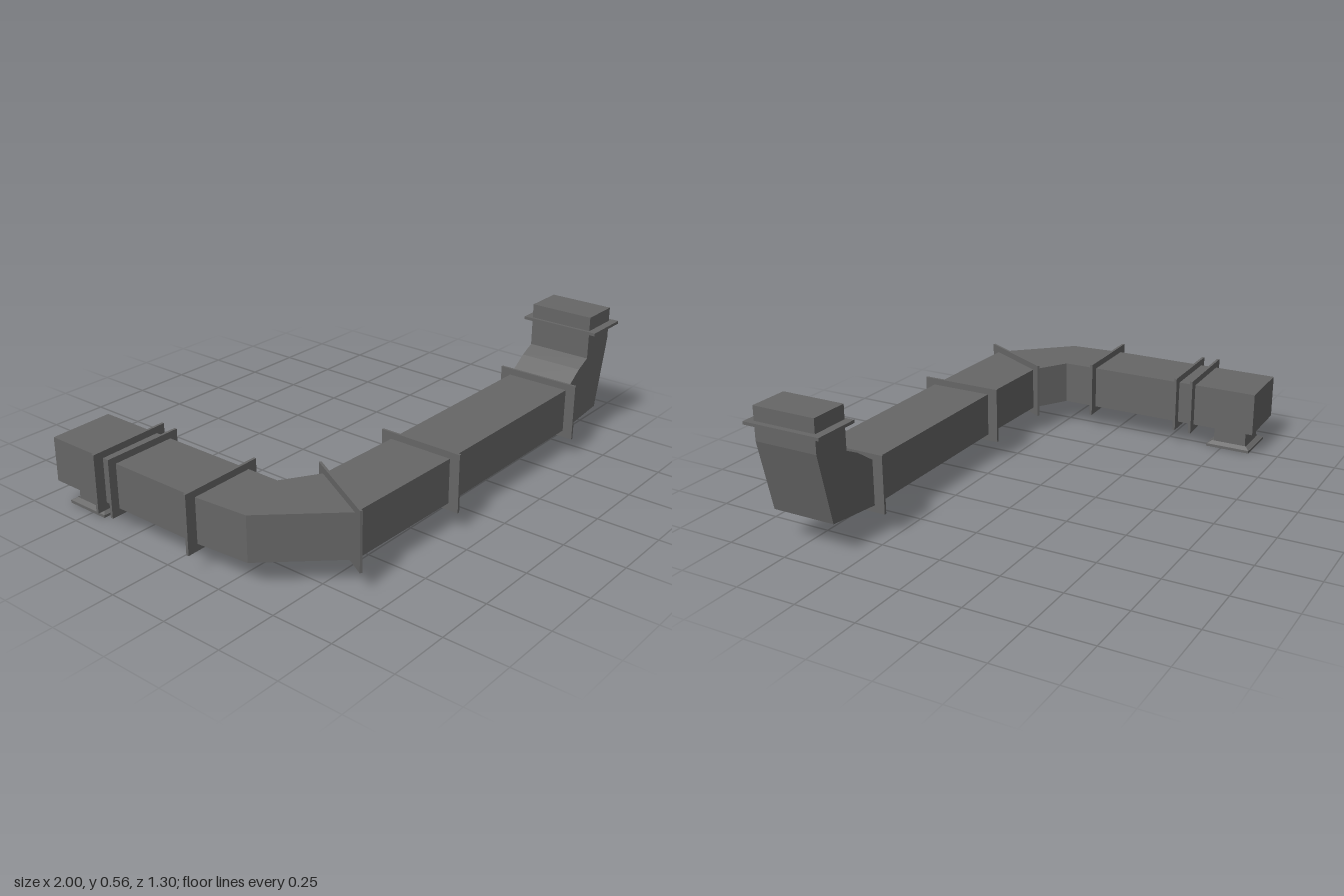
import * as THREE from 'three';

const metal = new THREE.MeshStandardMaterial({ color: 0x666666, flatShading: true, side: THREE.DoubleSide });
const BOTTOM = 0.104, TOP = 0.285;

export function createModel() {
  const model = new THREE.Group();

  const add = (name, geometry, x = 0, y = 0, z = 0, turn = 0) => {
    const mesh = new THREE.Mesh(geometry, metal);
    mesh.name = name;
    mesh.position.set(x, y, z);
    mesh.rotation.y = turn;
    model.add(mesh);
    return mesh;
  };
  const outline = pts => new THREE.Shape(pts.map(p => new THREE.Vector2(...p)));
  const extrude = (shape, depth) => new THREE.ExtrudeGeometry(shape, { depth, bevelEnabled: false });

  // Duct drawn in plan as (x, z) and extruded between bottom and top
  const planDuct = (name, pts) =>
    add(name, extrude(outline(pts), TOP - BOTTOM).rotateX(Math.PI / 2), 0, TOP, 0);

  planDuct('rearDuct', [[-0.955, -0.645], [-0.685, -0.653], [-0.685, 0.1], [-0.955, 0.1]]);
  planDuct('cornerElbow', [[-0.955, 0.1], [-0.685, 0.1], [-0.685, 0.24], [-0.54, 0.33], [-0.69, 0.597], [-0.937, 0.33]]);
  planDuct('middleDuct', [[-0.54, 0.33], [-0.16, 0.339], [-0.16, 0.606], [-0.69, 0.597]]);
  planDuct('frontDuct', [[-0.16, 0.339], [0.66, 0.339], [0.66, 0.606], [-0.16, 0.606]]);

  // Upward elbow, drawn from the front
  add('risingElbow', extrude(outline([
    [0.66, BOTTOM], [0.91, 0.13], [0.977, 0.42], [0.977, 0.555],
    [0.812, 0.555], [0.812, 0.377], [0.75, 0.347], [0.66, TOP]
  ]), 0.269), 0, 0, 0.339);

  // Joint flanges: x, z, length, turn about y, thickness
  [
    [0.66, 0.472, 0.353, Math.PI / 2, 0.01],
    [-0.16, 0.472, 0.353, Math.PI / 2, 0.01],
    [-0.615, 0.465, 0.39, Math.atan2(0.34, 0.19), 0.01],
    [-0.822, 0.1, 0.355, 0.025, 0.011],
    [-0.82, -0.303, 0.34, 0.022, 0.011],
    [-0.822, -0.375, 0.352, 0.035, 0.011]
  ].forEach(([x, z, length, turn, thick]) =>
    add('jointFlange', new THREE.BoxGeometry(length, 0.236, thick), x, 0.194, z, turn));
  add('outletFlange', new THREE.BoxGeometry(0.2, 0.012, 0.334), 0.9, 0.491, 0.473);

  // Downward vent: open neck, sloped collar, rim and grille
  const vx = -0.822, vz = -0.53;
  const sleeve = (topWidth, bottomWidth, height) =>
    new THREE.CylinderGeometry(topWidth / Math.SQRT2, bottomWidth / Math.SQRT2, height, 4, 1, true).rotateY(Math.PI / 4);
  add('ventNeck', sleeve(0.143, 0.143, 0.1), vx, 0.056, vz);
  add('ventCollar', sleeve(0.155, 0.19, 0.012), vx, 0.017, vz);

  const square = h => [[-h, -h], [h, -h], [h, h], [-h, h]];
  const rim = outline(square(0.097));
  rim.holes.push(outline(square(0.066)));
  add('ventRim', extrude(rim, 0.011).rotateX(Math.PI / 2), vx, 0.011, vz);
  for (let i = -3; i <= 3; i++) {
    add('grilleSlat', new THREE.BoxGeometry(0.134, 0.006, 0.008), vx, 0.009, vz + i * 0.018);
    add('grilleBar', new THREE.BoxGeometry(0.005, 0.005, 0.134), vx + i * 0.018, 0.012, vz);
  }
  return model;
}
